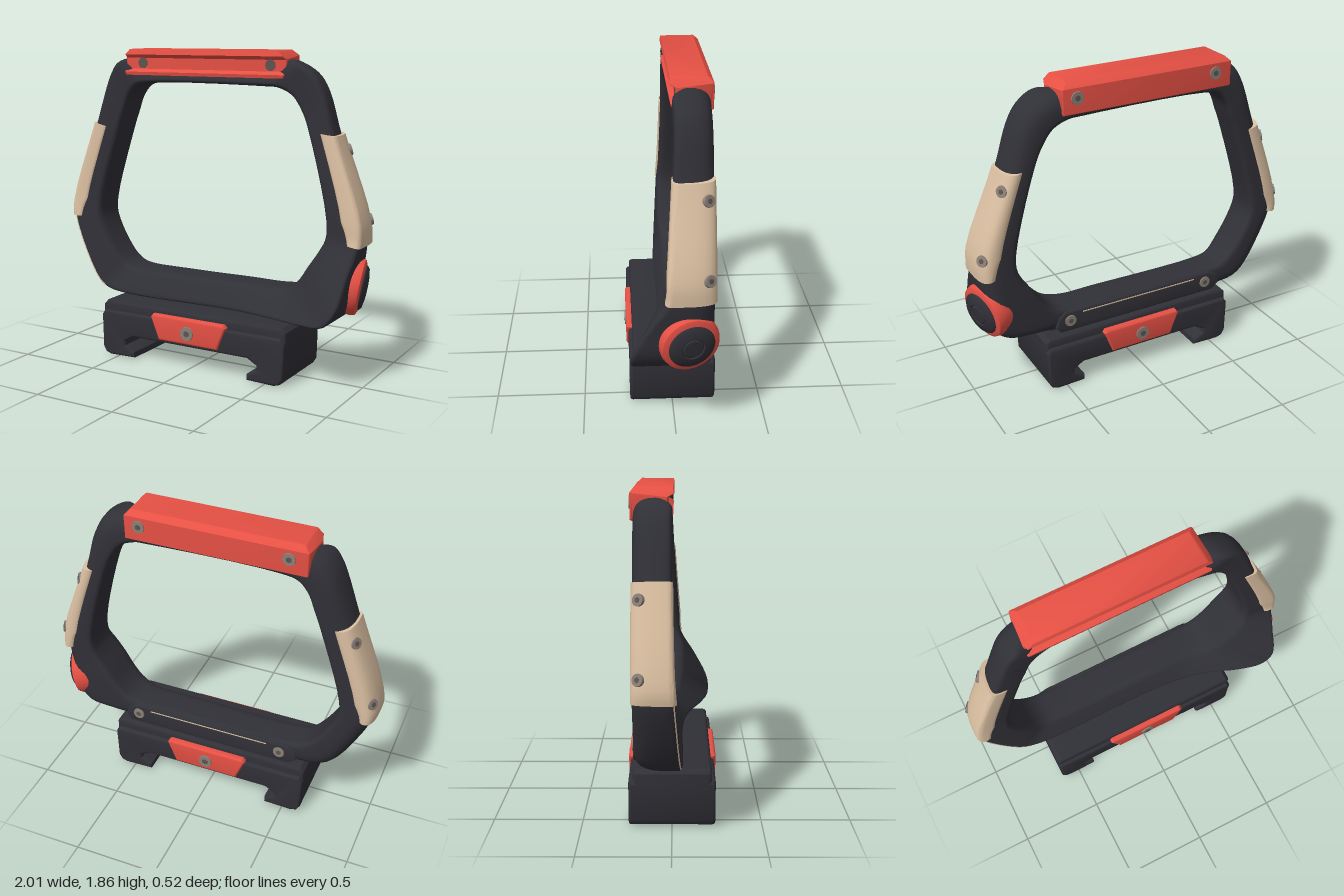
import * as THREE from 'three';
import { toCreasedNormals } from 'three/addons/utils/BufferGeometryUtils.js';

const mat = (name, color) => {
  const m = new THREE.MeshStandardMaterial({ color });
  m.name = name;
  return m;
};

// Frame stations, counterclockwise: outer x, y, inner x, y, front z at outer and inner edge
const RIGHT = [
  [0.2, 0.345, 0.2, 0.5, 0.08, 0.0], [0.48, 0.345, 0.43, 0.5, 0.125, 0.0],
  [0.7, 0.36, 0.53, 0.515, 0.21, 0.03], [0.85, 0.383, 0.6, 0.57, 0.25, 0.05],
  [0.92, 0.47, 0.67, 0.67, 0.245, 0.06], [0.945, 0.64, 0.73, 0.76, 0.155, 0.06],
  [0.965, 0.8, 0.76, 0.83, 0.055, 0.045], [0.96, 0.93, 0.76, 0.94, 0.045, 0.04],
  [0.79, 1.4, 0.63, 1.42, 0.01, 0.01], [0.72, 1.63, 0.58, 1.53, 0, 0],
  [0.66, 1.73, 0.52, 1.61, 0, 0], [0.56, 1.795, 0.43, 1.65, 0, 0], [0.45, 1.81, 0.35, 1.655, -0.065, 0],
];
const LEFT = [
  [-0.55, 1.81, -0.42, 1.655, -0.065, 0], [-0.65, 1.78, -0.51, 1.635, 0, 0],
  [-0.7, 1.72, -0.57, 1.57, 0, 0], [-0.74, 1.63, -0.61, 1.47, 0, 0],
  [-0.82, 1.4, -0.65, 1.36, 0, 0], [-0.98, 0.93, -0.785, 0.91, 0.01, 0.01],
  [-0.985, 0.8, -0.785, 0.8, 0.02, 0.02], [-0.81, 0.44, -0.67, 0.59, 0.05, 0.02],
  [-0.73, 0.37, -0.59, 0.52, 0.06, 0.0], [-0.6, 0.345, -0.5, 0.5, 0.07, 0.0],
];
const STEPS = 5;

// Smooth the stations along closed curves through the outer and inner edges
function smoothStations() {
  const all = [...RIGHT, ...LEFT];
  const curve = (x, y, z) => new THREE.CatmullRomCurve3(
    all.map(s => new THREE.Vector3(s[x], s[y], s[z])), true, 'centripetal');
  const outer = curve(0, 1, 4), inner = curve(2, 3, 5), n = all.length * STEPS;
  return Array.from({ length: n }, (_, k) => {
    const o = outer.getPoint(k / n), i = inner.getPoint(k / n);
    return { o: new THREE.Vector2(o.x, o.y), i: new THREE.Vector2(i.x, i.y), zo: o.z, zi: i.z, zb: -0.205 };
  });
}

// Rounded four-corner section with a wide bevel on the outer back corner
const CORNER = 6;
const BEVELS = [[0.035, 0.035], [0.035, 0.06], [0.035, 0.035], [0.11, 0.16]];
function section(s) {
  const L = s.o.distanceTo(s.i);
  const c = [[0, s.zo], [L, s.zi], [L, s.zb], [0, s.zb]].map(p => new THREE.Vector2(...p));
  const pts = [];
  c.forEach((p, k) => {
    const prev = c[(k + 3) % 4], next = c[(k + 1) % 4];
    const a = p.clone().lerp(prev, Math.min(0.6, BEVELS[k][0] / p.distanceTo(prev)));
    const b = p.clone().lerp(next, Math.min(0.75, BEVELS[k][1] / p.distanceTo(next)));
    new THREE.QuadraticBezierCurve(a, p, b).getPoints(CORNER).forEach(q => {
      const xy = s.o.clone().lerp(s.i, q.x / L);
      pts.push([xy.x, xy.y, q.y]);
    });
  });
  return pts;
}

// Skin between sections, closed into a ring or capped at both ends
function loft(stations, closed) {
  const rings = stations.map(section);
  const n = rings[0].length, m = rings.length, idx = [];
  for (let j = 0; j < (closed ? m : m - 1); j++) {
    for (let k = 0; k < n; k++) {
      const a = j * n + k, a2 = j * n + (k + 1) % n;
      const b = ((j + 1) % m) * n + k, b2 = ((j + 1) % m) * n + (k + 1) % n;
      idx.push(a, b, a2, a2, b, b2);
    }
  }
  if (!closed) {
    const e = (m - 1) * n;
    for (let k = 1; k < n - 1; k++) idx.push(0, k, k + 1, e, e + k + 1, e + k);
  }
  const g = new THREE.BufferGeometry();
  g.setAttribute('position', new THREE.Float32BufferAttribute(rings.flat(2), 3));
  g.setIndex(idx);
  return toCreasedNormals(g, 0.7);
}

// Grip station slightly larger than the frame, narrowing toward its lower end
function cover(s) {
  const f = 0.56 - 0.2 * THREE.MathUtils.clamp((0.93 - s.o.y) / 0.13, 0, 1);
  return {
    o: s.o.clone().add(s.o.clone().sub(s.i).setLength(0.015)),
    i: s.o.clone().lerp(s.i, f),
    zo: s.zo + 0.007, zi: s.zo + (s.zi - s.zo) * f + 0.007, zb: s.zb - 0.005,
  };
}

// Extruded outline between two z values
function slab(points, z0, z1, bevel) {
  const g = new THREE.ExtrudeGeometry(new THREE.Shape(points.map(p => new THREE.Vector2(...p))), {
    depth: z1 - z0 - 2 * bevel, bevelSize: bevel,
    bevelThickness: bevel, bevelOffset: -bevel, bevelSegments: 3,
  });
  g.translate(0, 0, z0 + bevel);
  return toCreasedNormals(g, 0.6);
}

// Top grip: grooved side profile run along x, its upper end corners cut back
function topGrip() {
  const profile = [[0.222, 1.69], [0.205, 1.68], [0.19, 1.703], [-0.004, 1.703], [-0.007, 1.722],
    [0.022, 1.74], [0.022, 1.805], [-0.012, 1.825], [-0.008, 1.858], [0.19, 1.86], [0.222, 1.83]];
  const g = slab(profile.reverse(), -0.54, 0.54, 0.006).rotateY(Math.PI / 2);
  const p = g.attributes.position;
  for (let k = 0; k < p.count; k++) {
    const y = p.getY(k), cut = Math.max(0, y - 1.815) + 0.4 * Math.max(0, 1.73 - y);
    p.setX(k, p.getX(k) - Math.sign(p.getX(k)) * cut - 0.05);
  }
  return toCreasedNormals(g, 0.6);
}

export function createModel() {
  const dark = mat('charcoal', 0x303037);
  const red = mat('red', 0xe65044);
  const tan = mat('tan', 0xdabfa1);
  const steel = mat('screw grey', 0x8a7f77);
  const socket = mat('socket grey', 0x5c544f);
  const model = new THREE.Group();
  const add = (name, geometry, material, parent = model) => {
    const mesh = new THREE.Mesh(geometry, material);
    mesh.name = name;
    parent.add(mesh);
    return mesh;
  };
  const up = new THREE.Vector3(0, 1, 0);
  const aim = (obj, pos, dir) => {
    obj.position.set(...pos);
    obj.quaternion.setFromUnitVectors(up, new THREE.Vector3(...dir).normalize());
  };
  // Low screw head whose top stands just above the given surface point
  const screw = (name, pos, dir, r = 0.036) => {
    const g = new THREE.Group();
    g.name = name;
    add('screwHead', new THREE.CylinderGeometry(r * 0.9, r, 0.024, 20), steel, g).position.y = -0.005;
    add('screwSocket', new THREE.CylinderGeometry(r * 0.42, r * 0.42, 0.004, 6), socket, g).position.y = 0.007;
    aim(g, pos, dir);
    model.add(g);
  };

  // Hexagonal frame with the flared lobe at lower left
  const frame = smoothStations();
  add('frame', loft(frame, true), dark);

  // Fine tan seam along the lower right front edge
  const seam = frame.slice(19 * STEPS, 21 * STEPS + 1).map(s => new THREE.Vector3(...section(s)[CORNER / 2]));
  add('seam', new THREE.TubeGeometry(new THREE.CatmullRomCurve3(seam), 24, 0.004, 5), tan);

  // Side grips with screws in the middle of the back bevel
  const grips = [
    ['leftGrip', 1, frame.slice(6 * STEPS, 8 * STEPS + 1), [5, 9]],
    ['rightGrip', -1, frame.slice(17 * STEPS, 19 * STEPS + 1), [5, 1]],
  ];
  for (const [name, side, part, screws] of grips) {
    const shell = part.map(cover);
    add(name, loft(shell, false), tan);
    for (const k of screws) {
      screw(name + 'Screw', section(shell[k])[3 * (CORNER + 1) + CORNER / 2], [side * 0.8, 0.25, -0.53], 0.036);
    }
  }

  // Top grip with screws behind and their pins in the front groove
  add('topGrip', topGrip(), red);
  for (const x of [-0.47, 0.39]) {
    screw('topGripScrew', [x, 1.775, -0.222], [0, 0, -1], 0.04);
    const pin = add('topGripPin', new THREE.CylinderGeometry(0.032, 0.032, 0.006, 20), socket);
    aim(pin, [x, 1.775, -0.022], [0, 0, 1]);
  }

  // Lower back plate with its screws and tan trim
  add('backPlate', slab([[-0.52, 0.36], [0.52, 0.36], [0.55, 0.4], [0.53, 0.46], [0.49, 0.49],
    [-0.49, 0.49], [-0.55, 0.46], [-0.57, 0.4]], -0.215, -0.145, 0.012), dark);
  add('backTrim', new THREE.BoxGeometry(0.76, 0.007, 0.006), tan).position.set(0, 0.468, -0.214);
  for (const x of [-0.46, 0.46]) screw('backPlateScrew', [x, 0.43, -0.215], [0, 0, -1], 0.038);

  // Clamp base with hooked feet
  const half = [[0.39, 0.135], [0.45, 0.1], [0.45, 0.075], [0.385, 0.04], [0.385, 0.005],
    [0.56, 0], [0.595, 0.012], [0.615, 0.045], [0.62, 0.25], [0.6, 0.28]];
  const mirrored = half.map(([x, y]) => [-x, y]).reverse();
  add('clampBase', slab([...half, ...mirrored], -0.24, 0.24, 0.016), dark);
  add('clampDeck', slab([[-0.62, 0.24], [0.62, 0.24], [0.62, 0.31], [0.595, 0.337],
    [-0.595, 0.337], [-0.62, 0.31]], -0.215, 0.22, 0.02), dark);
  add('neck', slab([[-0.56, 0.3], [0.56, 0.3], [0.56, 0.38], [-0.56, 0.38]], -0.13, 0.02, 0.01), dark);

  // Red clamp plates, front and back
  for (const side of [1, -1]) {
    add('clampPlate', slab([[-0.2, 0.152], [0.2, 0.152], [0.255, 0.29], [0.24, 0.308],
      [-0.24, 0.308], [-0.255, 0.29]], -0.03, 0.03, 0.014), red).position.z = side * 0.222;
    screw('clampScrew', [0, 0.222, side * 0.252], [0, 0, side], 0.046);
  }

  // Round knob: red collar and dark stepped cap
  const knob = new THREE.Group();
  knob.name = 'knob';
  const lathe = pts => toCreasedNormals(
    new THREE.LatheGeometry(pts.map(p => new THREE.Vector2(...p)), 40), 0.6);
  add('knobCollar', lathe([[0, -0.1], [0.15, -0.1], [0.162, -0.04], [0.165, 0.01],
    [0.157, 0.035], [0.135, 0.045], [0, 0.045]]), red, knob);
  add('knobCap', lathe([[0.13, 0.03], [0.127, 0.05], [0.112, 0.062], [0.065, 0.07],
    [0.058, 0.064], [0.05, 0.07], [0, 0.072]]), dark, knob);
  aim(knob, [0.908, 0.56, -0.068], [0.93, -0.16, -0.26]);
  model.add(knob);

  return model;
}
